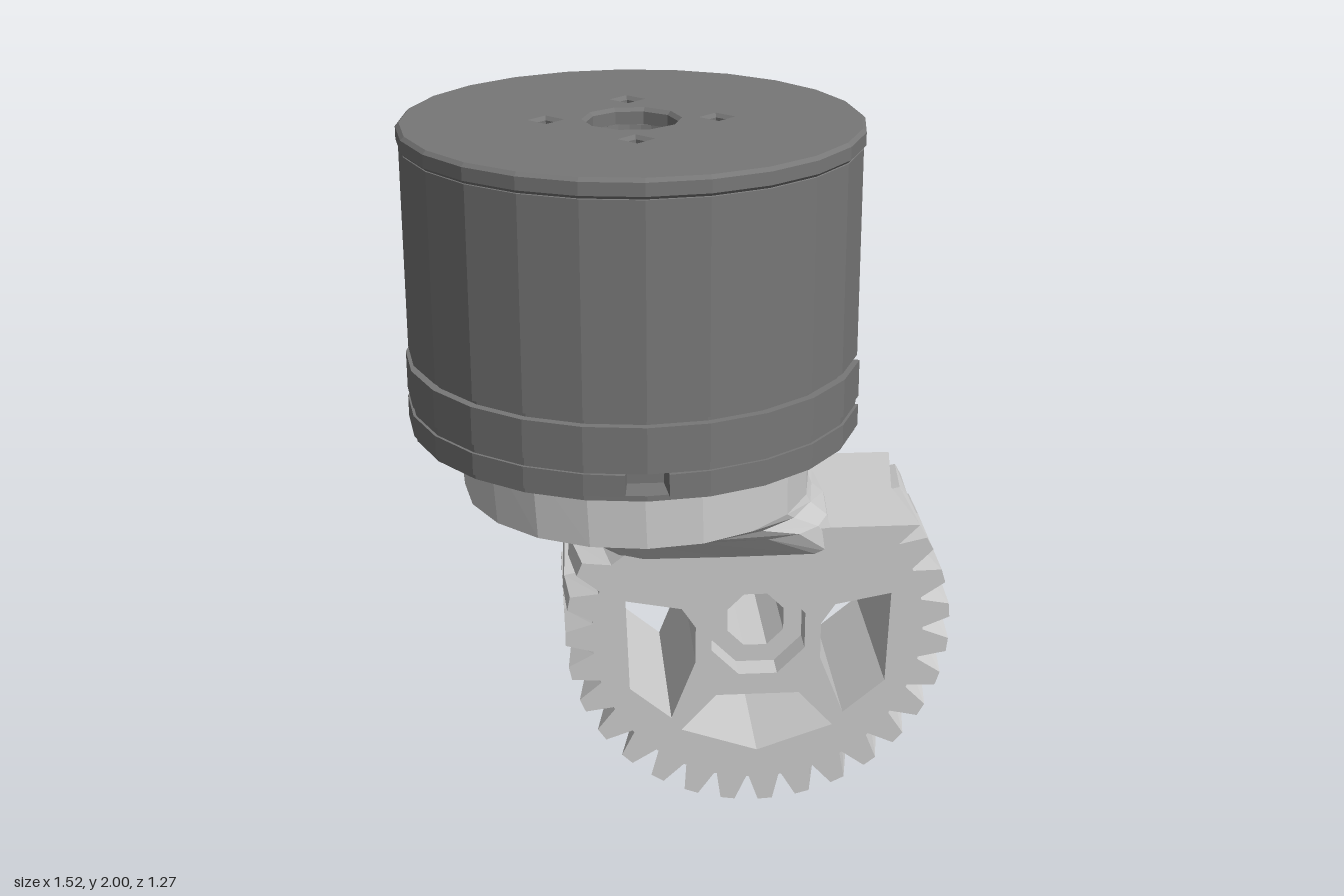
import * as THREE from 'three';

const grey = new THREE.MeshStandardMaterial({ color: 0xcccccc, flatShading: true, side: THREE.DoubleSide });
const dark = new THREE.MeshStandardMaterial({ color: 0x777777, flatShading: true, side: THREE.DoubleSide });

const KNOB_X = -0.13;
const GEAR = { x: 0.21, y: 0.55, back: -0.35, depth: 0.55 };

function add(parent, name, geometry, material) {
  const mesh = new THREE.Mesh(geometry, material);
  mesh.name = name;
  parent.add(mesh);
  return mesh;
}

const points = (list) => list.map(([x, y]) => new THREE.Vector2(x, y));

function polygon(x, y, r, sides, turn = 0) {
  const list = [];
  for (let i = 0; i < sides; i++) {
    const a = turn + (i / sides) * Math.PI * 2;
    list.push([x + r * Math.cos(a), y + r * Math.sin(a)]);
  }
  return points(list);
}

// Disc outline whose rim is cut inwards at each notch { at, half, r }
function notchedDisc(r, notches) {
  const rim = [];
  for (let i = 0; i < 24; i++) {
    const a = -Math.PI + (i / 24) * Math.PI * 2;
    if (!notches.some((n) => Math.abs(a - n.at) <= n.half)) rim.push([a, r]);
  }
  for (const n of notches) {
    const s = n.at - n.half, e = n.at + n.half;
    rim.push([s, r], [s + 0.001, n.r], [e - 0.001, n.r], [e, r]);
  }
  rim.sort((p, q) => p[0] - q[0]);
  return new THREE.Shape(points(rim.map(([a, d]) => [d * Math.cos(a), d * Math.sin(a)])));
}

// Upright slab from a shape drawn in plan
function slab(shape, y0, y1) {
  const g = new THREE.ExtrudeGeometry(shape, { depth: y1 - y0, bevelEnabled: false });
  return g.rotateX(-Math.PI / 2).translate(0, y0, 0);
}

function createKnob() {
  const knob = new THREE.Group();
  knob.name = 'knob';
  knob.position.x = KNOB_X;

  // Lower band: small slots front and back, a wide window on the gear side
  const window = { at: 0, half: 0.26, r: 0.55 };
  const slots = [-1, 1].map((s) => ({ at: s * Math.PI / 2, half: 0.09, r: 0.54 }));
  add(knob, 'bandFoot', slab(notchedDisc(0.625, []), 1.15, 1.165), dark);
  add(knob, 'lowerBand', slab(notchedDisc(0.633, [window, ...slots]), 1.165, 1.225), dark);
  add(knob, 'middleBand', slab(notchedDisc(0.625, [window]), 1.225, 1.25), dark);
  add(knob, 'upperBand', slab(notchedDisc(0.633, [window]), 1.25, 1.355), dark);

  // Drum with a groove at its foot and a socket in the top
  const profile = points([[0, 1.355], [0.61, 1.355], [0.61, 1.368], [0.626, 1.37],
    [0.626, 1.945], [0.61, 1.955], [0.12, 1.955], [0.1, 1.85], [0, 1.83]]);
  add(knob, 'drum', new THREE.LatheGeometry(profile, 24), dark);

  // Cap plate with the socket opening and four small holes
  const plate = notchedDisc(0.632, []);
  plate.holes.push(new THREE.Path(polygon(0, 0, 0.125, 10)));
  for (let i = 0; i < 4; i++) {
    const a = (i * Math.PI) / 2;
    plate.holes.push(new THREE.Path(polygon(0.23 * Math.cos(a), 0.23 * Math.sin(a), 0.035, 4, a)));
  }
  const cap = new THREE.ExtrudeGeometry(plate, {
    depth: 0.035, bevelThickness: 0.01, bevelSize: 0.01, bevelOffset: -0.01, bevelSegments: 1,
  });
  add(knob, 'cap', cap.rotateX(-Math.PI / 2).translate(0, 1.955, 0), dark);
  return knob;
}

// Round collar under the knob, lofted down to the rectangular top of the gear
function createNeck() {
  // y, x min, x max, z min, z max, squareness (1 = ellipse, small = rectangle)
  const layers = [
    [1.16, -0.63, 0.37, -0.49, 0.48, 1],
    [0.95, -0.615, 0.37, -0.49, 0.48, 1],
    [0.925, -0.56, 0.38, -0.4, 0.4, 0.9],
    [0.88, -0.36, 0.42, -0.37, 0.3, 0.6],
    [0.79, -0.2, 0.45, -0.351, 0.203, 0.25],
  ];
  const n = 20, pos = [], index = [];
  const bend = (v, p) => Math.sign(v) * Math.pow(Math.abs(v), p);
  for (const [y, x0, x1, z0, z1, p] of layers) {
    for (let i = 0; i < n; i++) {
      const a = (i / n) * Math.PI * 2;
      pos.push((x0 + x1) / 2 + bend(Math.cos(a), p) * (x1 - x0) / 2, y,
        (z0 + z1) / 2 + bend(Math.sin(a), p) * (z1 - z0) / 2);
    }
  }
  for (let l = 0; l < layers.length - 1; l++) {
    for (let i = 0; i < n; i++) {
      const a = l * n + i, b = l * n + (i + 1) % n;
      index.push(a, b, a + n, b, b + n, a + n);
    }
  }
  // Underside
  const last = (layers.length - 1) * n;
  pos.push(0.12, 0.79, -0.07);
  for (let i = 0; i < n; i++) index.push(last + n, last + i, last + (i + 1) % n);
  const g = new THREE.BufferGeometry();
  g.setAttribute('position', new THREE.Float32BufferAttribute(pos, 3));
  g.setIndex(index);
  g.computeVertexNormals();
  return g;
}

function createGear() {
  const gear = new THREE.Group();
  gear.name = 'gear';
  gear.position.set(GEAR.x, GEAR.y, GEAR.back);

  // Toothed arc, closed by a straight edge under the neck
  const teeth = 21, start = 2.65, pitch = (2 * Math.PI + 0.6 - start) / teeth;
  const outline = [];
  for (let i = 0; i < teeth; i++) {
    for (const [t, r] of [[0, 0.475], [0.28, 0.552], [0.66, 0.552], [0.92, 0.475]]) {
      const a = start + (i + t) * pitch;
      outline.push([r * Math.cos(a), r * Math.sin(a)]);
    }
  }
  outline.push([0.455, 0.32], [0.2, 0.32], [-0.36, 0.27]);
  const shape = new THREE.Shape(points(outline));

  // Hub opening, two side windows and one lower window
  shape.holes.push(new THREE.Path(polygon(0, 0, 0.145, 8, Math.PI / 8)));
  for (const s of [-1, 1]) {
    shape.holes.push(new THREE.Path(points([[0.38, 0.11], [0.22, 0.08], [0.18, 0.02],
      [0.18, -0.09], [0.25, -0.27], [0.37, -0.17]].map(([x, y]) => [s * x, y]))));
  }
  shape.holes.push(new THREE.Path(points([[-0.12, -0.2], [0.12, -0.2], [0.22, -0.31],
    [0, -0.385], [-0.22, -0.31]])));

  // Turning the middle layer of the rim makes the V-shaped teeth
  const body = new THREE.ExtrudeGeometry(shape, { depth: GEAR.depth, steps: 2, bevelEnabled: false });
  const p = body.attributes.position;
  for (let i = 0; i < p.count; i++) {
    const x = p.getX(i), y = p.getY(i), r = Math.hypot(x, y);
    if (Math.abs(p.getZ(i) - GEAR.depth / 2) > 0.01 || r < 0.46) continue;
    const a = Math.atan2(y, x) + 0.11;
    p.setXY(i, r * Math.cos(a), Math.min(r * Math.sin(a), 0.32));
  }
  body.computeVertexNormals();
  add(gear, 'gearBody', body, grey);

  // Recessed hub sleeve with the axle bore
  const sleeve = new THREE.Shape(polygon(0, 0, 0.15, 8, Math.PI / 8));
  sleeve.holes.push(new THREE.Path(polygon(0, 0, 0.088, 8, Math.PI / 8)));
  const sleeveGeometry = new THREE.ExtrudeGeometry(sleeve, { depth: GEAR.depth - 0.16, bevelEnabled: false });
  add(gear, 'hubSleeve', sleeveGeometry.translate(0, 0, 0.08), grey);
  return gear;
}

export function createModel() {
  const model = new THREE.Group();
  model.name = 'knobWithGear';
  model.add(createKnob(), createGear());
  add(model, 'neck', createNeck(), grey);
  return model;
}
